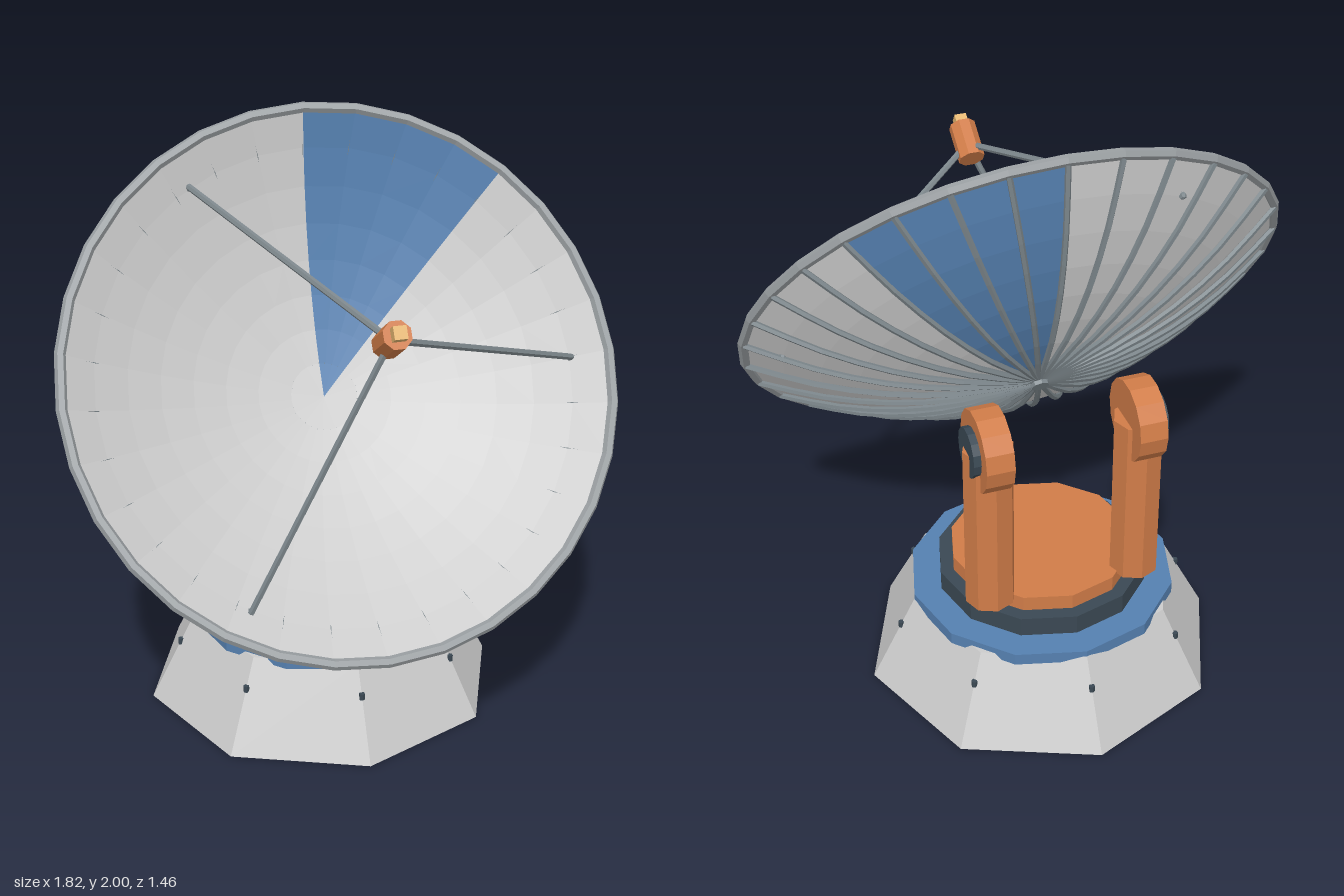
import * as THREE from 'three';

const mat = (color, side = THREE.FrontSide) =>
  new THREE.MeshStandardMaterial({ color, flatShading: true, side });

export function createModel() {
  const root = new THREE.Group();
  const grey = mat(0xcccccc);
  const orange = mat(0xd07c48);
  const blue = mat(0x5580b0);
  const dark = mat(0x3a4853);
  const steel = mat(0x7d878c);

  const add = (parent, name, geo, material, x = 0, y = 0, z = 0) => {
    const mesh = new THREE.Mesh(geo, material);
    mesh.name = name;
    mesh.position.set(x, y, z);
    parent.add(mesh);
    return mesh;
  };
  // Upright prism between two heights
  const drum = (parent, name, rTop, rBottom, y0, y1, sides, material) =>
    add(parent, name, new THREE.CylinderGeometry(rTop, rBottom, y1 - y0, sides), material, 0, (y0 + y1) / 2, 0);

  // Pedestal: tapered base, collar, bearing and turntable
  const pedestal = new THREE.Group();
  pedestal.name = 'pedestal';
  pedestal.position.z = -0.125;
  root.add(pedestal);
  drum(pedestal, 'base', 0.452, 0.605, 0, 0.3, 8, grey);
  drum(pedestal, 'collar', 0.45, 0.45, 0.28, 0.322, 12, blue);
  drum(pedestal, 'bearing', 0.355, 0.355, 0.32, 0.392, 12, dark);
  drum(pedestal, 'turntable', 0.31, 0.31, 0.39, 0.445, 12, orange);
  for (let i = 0; i < 8; i++) {
    const a = (i * Math.PI) / 4;
    add(pedestal, 'baseBolt', new THREE.CylinderGeometry(0.01, 0.01, 0.022, 6), dark,
      0.5 * Math.sin(a), 0.205, 0.5 * Math.cos(a));
  }

  // Pair of posts with round heads and dark hubs on the outside
  for (const s of [1, -1]) {
    const post = new THREE.Group();
    post.name = s > 0 ? 'leftPost' : 'rightPost';
    post.position.set(s * 0.25, 0, -0.335);
    root.add(post);
    drum(post, 'postColumn', 0.083, 0.083, 0.435, 1.04, 8, orange);
    const head = add(post, 'postHead', new THREE.CylinderGeometry(0.135, 0.135, 0.092, 14), orange, 0, 1.035, 0);
    const hub = add(post, 'postHub', new THREE.CylinderGeometry(0.082, 0.082, 0.07, 14), dark, s * 0.035, 1.035, 0);
    head.rotation.z = hub.rotation.z = Math.PI / 2;
  }

  // Dish assembly: local y is the dish axis, local -z is its upper side
  const dish = new THREE.Group();
  dish.name = 'dish';
  dish.position.set(0, 1.08, -0.085);
  dish.rotation.x = Math.acos(0.559);
  root.add(dish);
  const R = 0.89, SEGS = 32;
  const depth = (r) => 0.383 * r * r;

  // Reflector shell with one coloured sector
  const profile = [];
  for (let i = 0; i <= 8; i++) profile.push(new THREE.Vector2((R * i) / 8, depth((R * i) / 8)));
  add(dish, 'reflector', new THREE.LatheGeometry(profile, 28, Math.PI, Math.PI * 1.75),
    mat(0xcccccc, THREE.DoubleSide));
  add(dish, 'reflectorSector', new THREE.LatheGeometry(profile, 4, Math.PI * 0.75, Math.PI * 0.25),
    mat(0x5580b0, THREE.DoubleSide));

  // Rim
  const rim = new THREE.TorusGeometry(R, 0.018, 6, SEGS);
  rim.rotateX(Math.PI / 2).rotateY(Math.PI / 2);
  add(dish, 'rim', rim, mat(0x9a9fa2), 0, depth(R), 0);

  // Back ribs following the curve of the shell
  const ribPath = new THREE.CatmullRomCurve3(
    [0.03, 0.25, 0.47, 0.69, R].map((r) => new THREE.Vector3(0, depth(r) - 0.012, r)));
  const ribGeo = new THREE.TubeGeometry(ribPath, 8, 0.01, 5);
  for (let i = 0; i < SEGS; i++) {
    add(dish, 'rib', ribGeo, steel).rotation.y = (i * 2 * Math.PI) / SEGS;
  }
  add(dish, 'ribHub', new THREE.CylinderGeometry(0.035, 0.03, 0.03, 8), steel, 0, -0.018, 0);

  // Three struts carrying the feed
  for (let i = 0; i < 3; i++) {
    const a = (i * 2 * Math.PI) / 3;
    const at = (r, y) => new THREE.Vector3(r * Math.cos(a), y, -r * Math.sin(a));
    const path = new THREE.LineCurve3(at(0.785, depth(0.785)), at(0.025, 0.845));
    add(dish, 'strut', new THREE.TubeGeometry(path, 1, 0.011, 6), steel);
    add(dish, 'strutFoot', new THREE.SphereGeometry(0.013, 6, 4), steel).position.copy(at(0.78, depth(0.78)));
  }

  // Feed body and tip
  const feed = add(dish, 'feedBody', new THREE.CylinderGeometry(0.045, 0.045, 0.13, 8), orange, 0, 0.872, 0);
  feed.rotation.y = Math.PI / 8;
  add(dish, 'feedTip', new THREE.BoxGeometry(0.04, 0.04, 0.04), mat(0xe3b56f), 0, 0.95, 0);

  return root;
}
